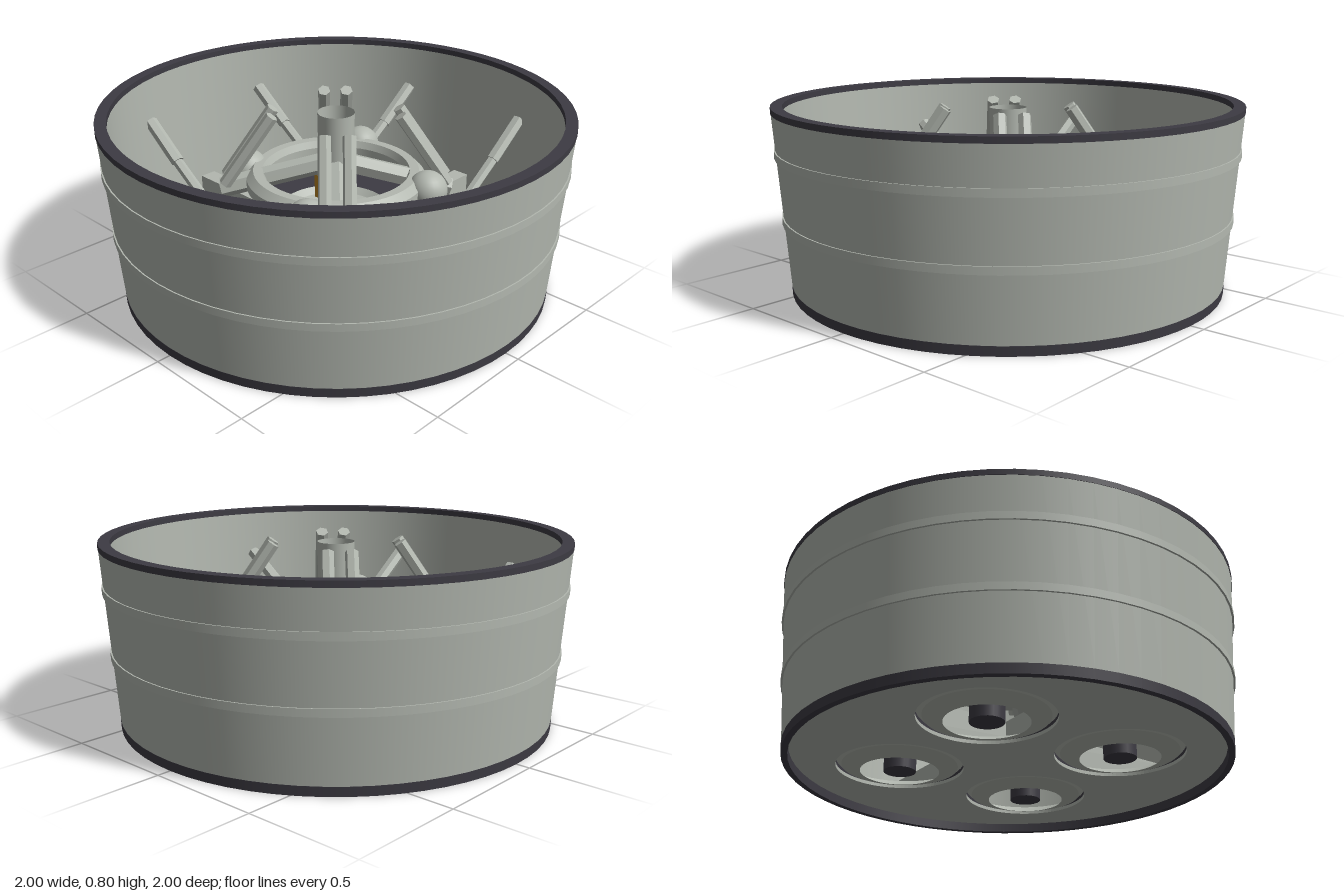
import * as THREE from 'three';

export function createModel() {
  const model = new THREE.Group();
  const lightGrey = new THREE.MeshStandardMaterial({ color: 0xb3b8b0, side: THREE.DoubleSide });
  lightGrey.name = 'lightGrey';
  const charcoal = new THREE.MeshStandardMaterial({ color: 0x3d3b43 });
  charcoal.name = 'charcoal';
  const gold = new THREE.MeshStandardMaterial({ color: 0xb88422 });
  gold.name = 'gold';

  const add = (name, geometry, material, x = 0, y = 0, z = 0) => {
    const mesh = new THREE.Mesh(geometry, material);
    mesh.name = name;
    mesh.position.set(x, y, z);
    model.add(mesh);
    return mesh;
  };

  // Each straight profile segment gets its own lathe, so edges stay sharp
  const revolve = (name, profile, material, x = 0, z = 0) => {
    for (let i = 0; i < profile.length - 1; i++) {
      const pts = [profile[i], profile[i + 1]].map(([r, y]) => new THREE.Vector2(r, y));
      add(name, new THREE.LatheGeometry(pts, 64), material, x, 0, z);
    }
  };

  // Straight tube between two points
  const strut = (name, a, b, radius, sides, material) => {
    const from = new THREE.Vector3(...a), to = new THREE.Vector3(...b);
    const dir = to.clone().sub(from);
    const geo = new THREE.CylinderGeometry(radius, radius, dir.length(), sides).toNonIndexed();
    geo.computeVertexNormals();
    const mesh = add(name, geo, material);
    mesh.position.copy(from).add(to).multiplyScalar(0.5);
    mesh.quaternion.setFromUnitVectors(new THREE.Vector3(0, 1, 0), dir.normalize());
  };

  // Tapered skirt wall, inside and out, with dark rims
  const outer = (y) => 0.94 + 0.075 * y;
  const inner = (y) => 0.915 + 0.045 * y;
  revolve('skirtOuterWall', [[outer(0.04), 0.04], [outer(0.775), 0.775]], lightGrey);
  revolve('skirtInnerWall', [[inner(0.775), 0.775], [inner(0.04), 0.04]], lightGrey);
  revolve('topRim', [[0.951, 0.775], [1, 0.775], [1, 0.8], [0.951, 0.8], [0.951, 0.775]], charcoal);
  revolve('bottomRim', [[0.915, 0], [0.942, 0], [0.944, 0.04], [0.915, 0.04], [0.915, 0]], charcoal);

  // Raised hoops around the wall
  for (const y of [0.325, 0.605]) {
    const r = outer(y) + 0.007;
    revolve('wallHoop', [[r - 0.02, y - 0.016], [r, y - 0.016], [r, y + 0.016], [r - 0.02, y + 0.016]], lightGrey);
  }

  // Floor: pale underside and dark top, with four openings
  const offset = 0.335;
  const corners = [[1, 1], [1, -1], [-1, -1], [-1, 1]];
  const disc = new THREE.Shape().absarc(0, 0, 0.917, 0, Math.PI * 2);
  for (const [sx, sz] of corners) {
    disc.holes.push(new THREE.Path().absarc(sx * offset, sz * offset, 0.275, 0, Math.PI * 2, true));
  }
  const plate = (depth) => new THREE.ExtrudeGeometry(disc, { depth, bevelEnabled: false, curveSegments: 48 }).rotateX(-Math.PI / 2);
  add('floorUnderside', plate(0.015), lightGrey, 0, 0.04, 0);
  add('floorTop', plate(0.015), charcoal, 0, 0.055, 0);

  // Crossed floor beams
  add('floorBeam', new THREE.BoxGeometry(1.81, 0.13, 0.08), lightGrey, 0, 0.13, 0);
  add('floorBeam', new THREE.BoxGeometry(0.08, 0.13, 1.81), lightGrey, 0, 0.13, 0);

  for (const [sx, sz] of corners) {
    const x = sx * offset, z = sz * offset;
    // Dished collar and engine mount
    revolve('openingCollar', [[0.28, 0.075], [0.25, 0.045], [0.17, 0.02]], lightGrey, x, z);
    add('mountPivot', new THREE.CylinderGeometry(0.07, 0.07, 0.12, 24), charcoal, x, 0.08, z);
    add('mountBlock', new THREE.BoxGeometry(0.14, 0.14, 0.14), gold, sx * 0.34, 0.21, sz * 0.34);

    // Two stepped braces from each mount up to the wall
    for (const alongX of [true, false]) {
      const at = (t, y) => (alongX ? [sx * t, y, z] : [x, y, sz * t]);
      strut('wallBrace', at(0.36, 0.2), at(0.7, 0.44), 0.024, 6, lightGrey);
      strut('wallBraceEnd', at(0.69, 0.433), at(0.88, 0.58), 0.03, 6, lightGrey);
    }

    // Sloping diagonal arm and the twin struts above it
    const k = Math.SQRT1_2;
    strut('diagonalArm', [0, 0.55, 0], [sx * k * 0.5, 0.42, sz * k * 0.5], 0.045, 6, lightGrey);
    for (const side of [-0.05, 0.05]) {
      const at = (r, y) => [sx * k * r - sz * k * side, y, sz * k * r + sx * k * side];
      strut('twinStrut', at(0.27, 0.77), at(0.48, 0.46), 0.028, 6, lightGrey);
    }
  }

  // Central ring and open tube
  revolve('centralRing', [[0.305, 0.44], [0.39, 0.44], [0.39, 0.48], [0.36, 0.51], [0.32, 0.51], [0.305, 0.48], [0.305, 0.44]], lightGrey);
  add('centralTube', new THREE.CylinderGeometry(0.08, 0.075, 0.27, 32, 1, true), lightGrey, 0, 0.635, 0);

  // Spherical tanks spaced around the ring
  for (const [x, z] of [[-0.19, -0.36], [0.36, -0.19], [0.19, 0.36], [-0.36, 0.19]]) {
    add('sphericalTank', new THREE.SphereGeometry(0.085, 24, 16), lightGrey, x, 0.46, z);
  }

  return model;
}
